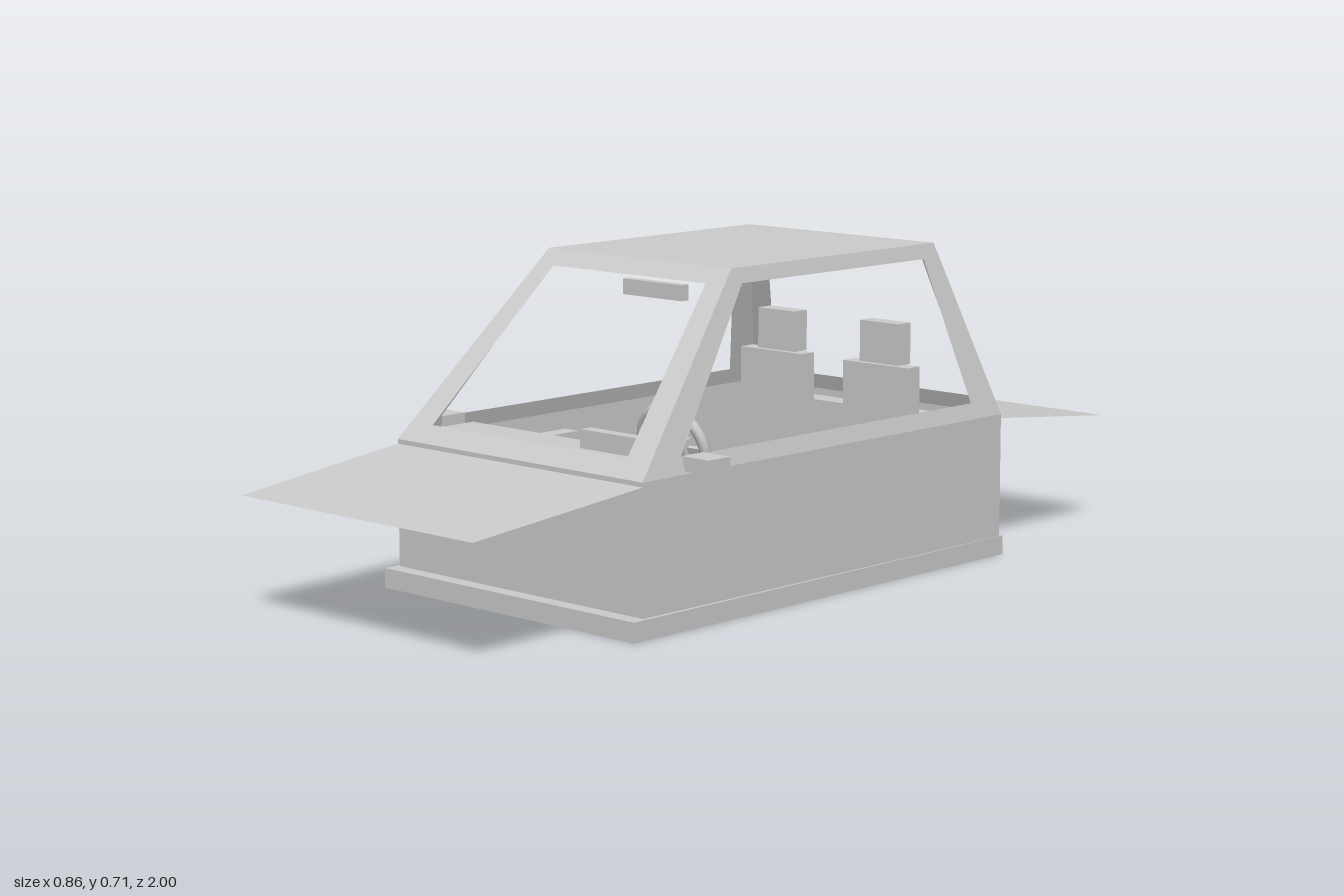
import * as THREE from 'three';

const grey = new THREE.MeshStandardMaterial({ color: 0xcccccc, side: THREE.DoubleSide });
grey.name = 'plain grey';

export function createModel() {
  const car = new THREE.Group();
  car.name = 'carCabin';

  const add = (name, geometry, parent = car) => {
    const mesh = new THREE.Mesh(geometry, grey);
    mesh.name = name;
    parent.add(mesh);
    return mesh;
  };

  // Box given by its limits on each axis
  const box = (name, x0, x1, y0, y1, z0, z1, parent) => {
    const mesh = add(name, new THREE.BoxGeometry(x1 - x0, y1 - y0, z1 - z0), parent);
    mesh.position.set((x0 + x1) / 2, (y0 + y1) / 2, (z0 + z1) / 2);
    return mesh;
  };

  // Thin sheet from quads, corners counter-clockwise from outside
  const sheet = (name, quads) => {
    const points = quads.flatMap(([a, b, c, d]) => [a, b, c, a, c, d]);
    const geometry = new THREE.BufferGeometry().setFromPoints(points);
    geometry.computeVertexNormals();
    return add(name, geometry);
  };

  // Four-sided frame around a window, the opening set by fractions u and v
  const frame = (name, [a, b, c, d], u, v) => {
    const at = (s, t) => a.clone().lerp(b, s).lerp(d.clone().lerp(c, s), t);
    const inner = [at(u, v[0]), at(1 - u, v[0]), at(1 - u, v[1]), at(u, v[1])];
    const outer = [a, b, c, d];
    sheet(name, outer.map((p, i) => {
      const j = (i + 1) % 4;
      return [p, outer[j], inner[j], inner[i]];
    }));
  };

  // Corner rings in the order front right, front left, back left, back right
  const ring = (y, xf, zf, xb, zb) => [[-xf, zf], [xf, zf], [xb, zb], [-xb, zb]]
    .map(([x, z]) => new THREE.Vector3(x, y, z));
  const bottom = ring(0.04, 0.365, 0.56, 0.372, -0.575);
  const waist = ring(0.32, 0.365, 0.56, 0.372, -0.575);
  const top = ring(0.707, 0.27, 0.2, 0.275, -0.45);

  // Floor, walls, window frames and roof
  box('floorSlab', -0.374, 0.374, 0, 0.043, -0.585, 0.595);
  ['front', 'left', 'back', 'right'].forEach((side, i) => {
    const j = (i + 1) % 4;
    sheet(side + 'Wall', [[bottom[i], bottom[j], waist[j], waist[i]]]);
    frame(side + 'WindowFrame', [waist[i], waist[j], top[j], top[i]],
      i % 2 ? 0.078 : 0.094, [0.09, 0.917]);
  });
  sheet('roof', [top]);

  // Sloping bonnet and boot lids
  const hood = ring(0.31, 0.365, 0.56, 0.365, -0.575);
  const lip = ring(0.262, 0.345, 1, 0.338, -1);
  sheet('bonnet', [[lip[0], lip[1], hood[1], hood[0]]]);
  sheet('bootLid', [[lip[2], lip[3], hood[3], hood[2]]]);

  // Dashboard with two rows of buttons
  box('dashboard', -0.345, 0.345, 0.14, 0.335, 0.36, 0.525);
  for (let row = 0; row < 2; row++) {
    for (let i = 0; i < (row ? 3 : 5); i++) {
      const x = -0.145 + i * 0.037;
      const y = 0.305 - row * 0.045;
      box('dashButton', x - 0.01, x + 0.01, y - 0.012, y + 0.012, 0.33, 0.36);
    }
  }

  // Instrument housing with three dials
  box('instrumentHousing', 0.057, 0.253, 0.335, 0.375, 0.4, 0.43);
  for (const x of [0.092, 0.155, 0.22]) {
    box('dial', x - 0.011, x + 0.011, 0.34, 0.362, 0.39, 0.4);
  }

  // Steering wheel, leaning forward at the top
  const wheel = new THREE.Group();
  wheel.name = 'steeringWheel';
  wheel.position.set(0.152, 0.325, 0.248);
  wheel.rotation.x = 0.27;
  car.add(wheel);
  add('wheelRim', new THREE.TorusGeometry(0.09, 0.012, 8, 28), wheel);
  box('wheelHub', -0.043, 0.043, -0.022, 0.022, -0.012, 0.015, wheel);
  box('wheelSpokes', -0.085, 0.085, -0.007, 0.007, -0.005, 0.005, wheel);
  box('steeringColumn', -0.015, 0.015, -0.015, 0.015, 0.015, 0.13, wheel);

  // Rear bench base and window shelf
  box('benchBase', -0.31, 0.31, 0.043, 0.105, -0.45, -0.35);
  box('rearShelf', -0.33, 0.33, 0.29, 0.305, -0.57, -0.515);

  // Parts mirrored on both sides
  for (const s of [-1, 1]) {
    const pair = (name, a, b, ...rest) => box(name, Math.min(s * a, s * b), Math.max(s * a, s * b), ...rest);
    pair('seatBack', 0.062, 0.25, 0.105, 0.43, -0.437, -0.395);
    pair('headrest', 0.098, 0.21, 0.43, 0.523, -0.452, -0.41);
    pair('armrest', 0.32, 0.357, 0.2, 0.228, -0.19, 0.18);
    pair('doorHandle', 0.315, 0.357, 0.262, 0.282, 0.07, 0.18);
    pair('sideMirror', 0.355, 0.43, 0.326, 0.356, 0.375, 0.438);
  }

  // Inside mirror
  box('rearViewMirror', -0.087, 0.087, 0.618, 0.652, 0.135, 0.157);

  return car;
}
